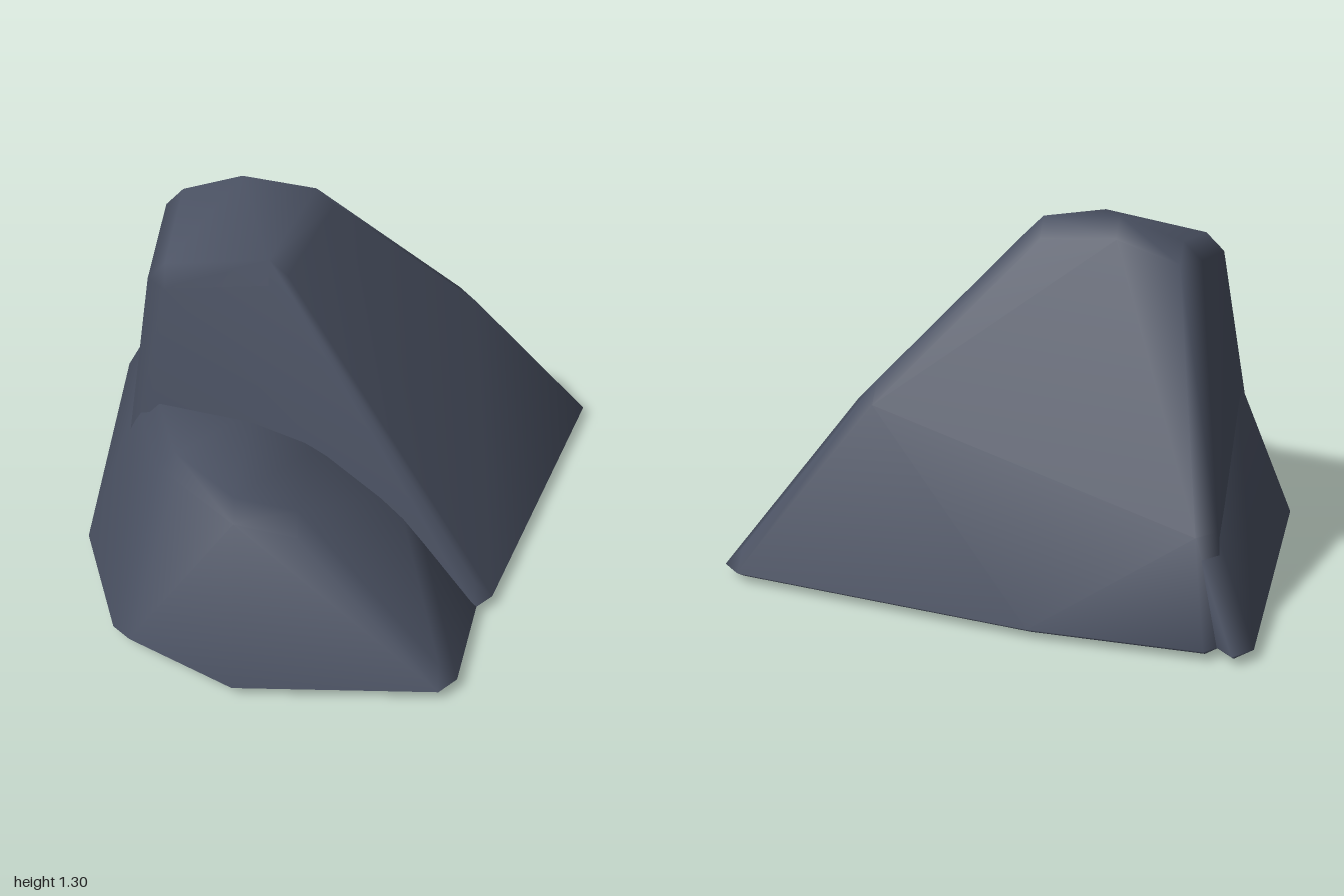
import * as THREE from 'three';
import { ConvexGeometry } from 'three/addons/geometries/ConvexGeometry.js';
import { mergeVertices } from 'three/addons/utils/BufferGeometryUtils.js';

const BEVEL = 0.065;
const GROUND = 0.04;

// Chamfered convex stone: each core corner grows into a small octahedron
function stone(name, corners, material) {
  const points = [];
  for (const [x, y, z] of corners) {
    for (const s of [-1, 1]) {
      points.push(new THREE.Vector3(x + s * BEVEL, y, z));
      points.push(new THREE.Vector3(x, y, z + s * BEVEL));
      points.push(new THREE.Vector3(x, Math.max(0, y + s * BEVEL), z));
    }
  }
  // Shared vertices give area-weighted normals, so the chamfers look soft
  let geometry = new ConvexGeometry(points);
  geometry.deleteAttribute('normal');
  geometry = mergeVertices(geometry, 1e-4);
  geometry.computeVertexNormals();
  const mesh = new THREE.Mesh(geometry, material);
  mesh.name = name;
  return mesh;
}

export function createModel() {
  const slate = new THREE.MeshStandardMaterial({ color: 0x4a5162 });
  slate.name = 'slate';

  // Tall leaning rock with a long slope to the left
  const peak = stone('peak', [
    [-0.78, GROUND, -0.92], [-0.19, GROUND, -0.885], [0.895, GROUND, -0.675],
    [0.485, GROUND, 0.5], [-0.78, GROUND, 0.24],
    [-0.73, 0.38, -0.79], [0.43, 0.65, -0.52],
    [-0.63, 1.09, 0.04], [-0.26, 1.14, 0.09],
    [-0.6, 1.165, -0.35], [-0.38, 1.235, -0.33], [-0.11, 1.21, -0.29],
  ], slate);

  // Low rock forming the front ledge and the right skirt
  const ledge = stone('ledge', [
    [-0.875, GROUND, -0.935], [-0.895, GROUND, 0.2], [-0.74, GROUND, 0.7],
    [-0.36, GROUND, 0.935], [0.35, GROUND, 0.935], [0.44, GROUND, 0.49],
    [-0.73, 0.36, -0.78], [-0.69, 0.6, 0.1], [-0.58, 0.565, 0.45],
    [-0.36, 0.535, 0.655], [-0.14, 0.48, 0.655],
    [-0.32, 0.575, 0.2], [-0.1, 0.51, 0.34], [0.2, 0.32, 0.36],
  ], slate);

  const group = new THREE.Group();
  group.name = 'rock';
  group.add(peak, ledge);
  return group;
}
